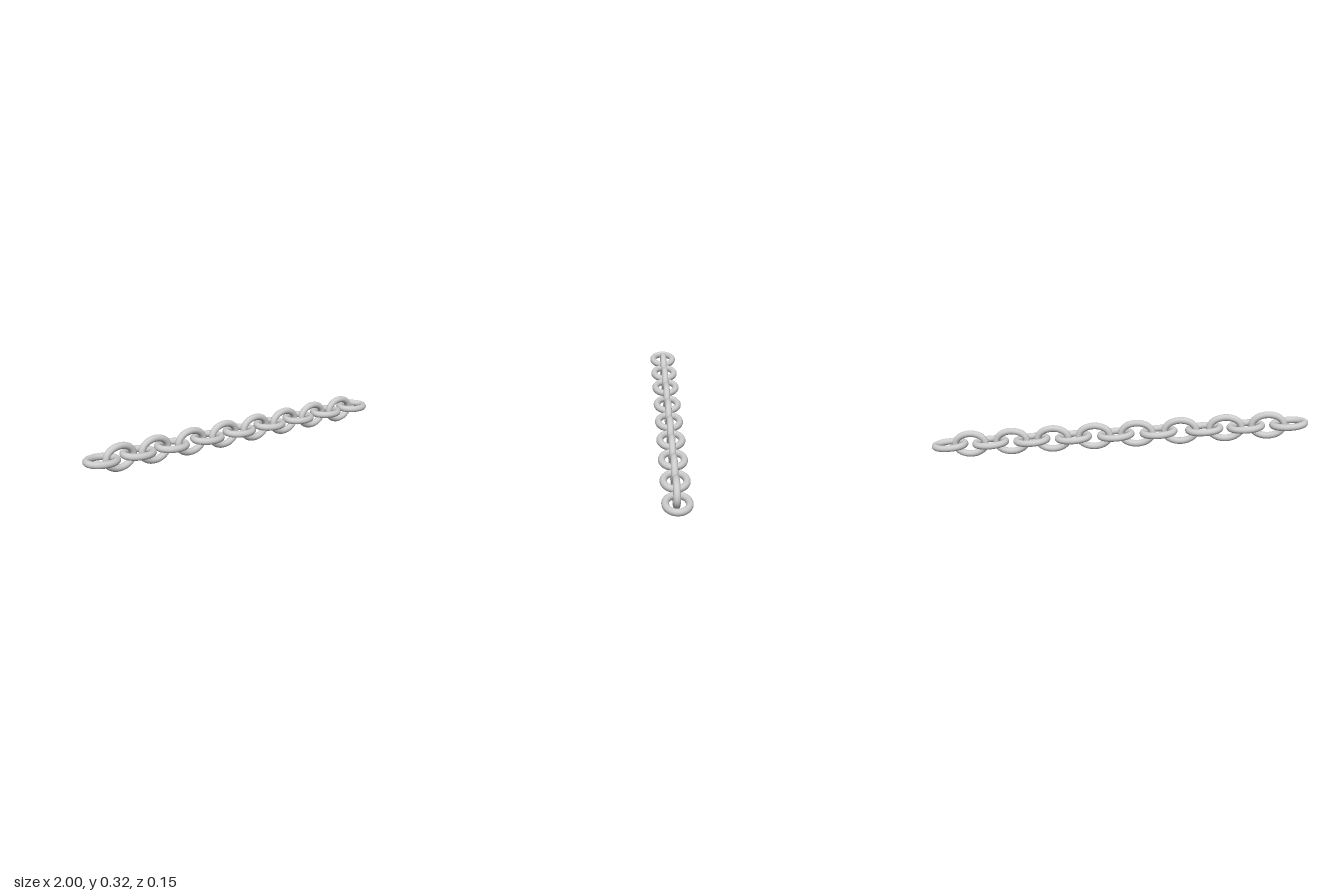
import * as THREE from 'three';

// Closed oval centre line of one link, lying in the XY plane
class OvalCurve extends THREE.Curve {
  constructor(a, b) {
    super();
    this.a = a;
    this.b = b;
  }
  getPoint(t, target = new THREE.Vector3()) {
    const u = t * Math.PI * 2;
    return target.set(this.a * Math.cos(u), this.b * Math.sin(u), 0);
  }
}

export function createModel() {
  const chain = new THREE.Group();
  chain.name = 'chain';

  const steel = new THREE.MeshStandardMaterial({ color: 0xcccccc });
  const wire = 0.0175;
  const linkGeometry = new THREE.TubeGeometry(new OvalCurve(0.0825, 0.0565), 64, wire, 20, true);

  // The chain runs along a straight line falling towards +x
  const slope = -0.106;
  const tilt = Math.atan(slope);

  function addLink(name, x, twist) {
    const link = new THREE.Mesh(linkGeometry, steel);
    link.name = name;
    link.position.set(x, 0.16 + slope * x, 0);
    // twist about the link's own long axis, then tilt along the chain
    link.rotation.set(twist, 0, tilt, 'ZYX');
    chain.add(link);
  }

  // Flat links, including both ends
  const flatX = [-0.9, -0.68, -0.465, -0.226, 0, 0.226, 0.45, 0.675, 0.898];
  flatX.forEach((x, i) => addLink(`flatLink${i + 1}`, x, Math.PI / 2));

  // Upright links joining them
  const uprightX = [-0.793, -0.575, -0.34, -0.111, 0.114, 0.336, 0.56, 0.785];
  uprightX.forEach((x, i) => addLink(`uprightLink${i + 1}`, x, 0));

  return chain;
}
